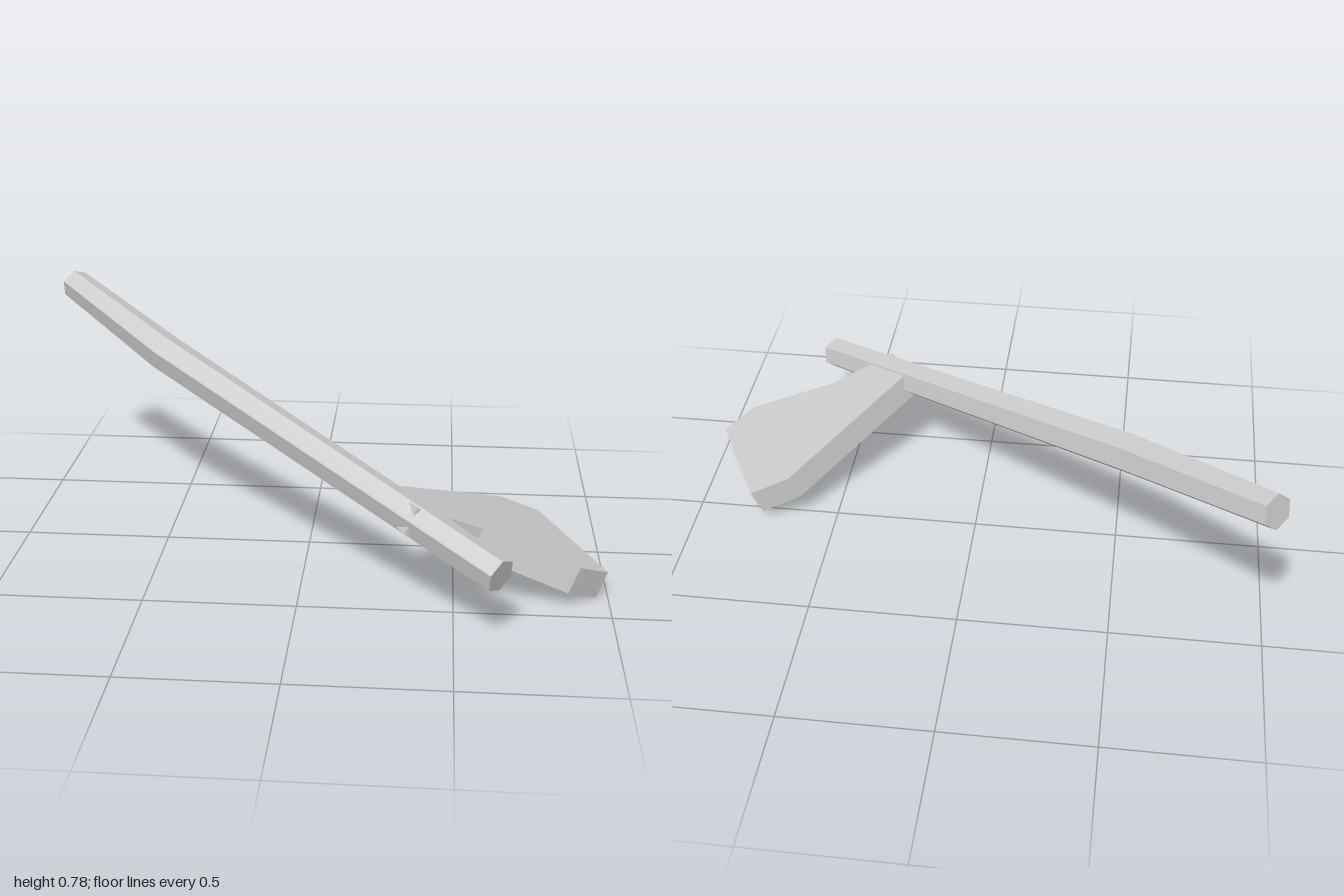
import * as THREE from 'three';

// Six-sided bar swept through centres with a radius at each one
function hexBar(centres, radii, twist) {
  const sides = 6, pos = [], index = [];
  const up = new THREE.Vector3(0, 1, 0);
  const last = centres.length - 1;
  centres.forEach((c, i) => {
    const dir = new THREE.Vector3();
    if (i > 0) dir.add(c.clone().sub(centres[i - 1]).normalize());
    if (i < last) dir.add(centres[i + 1].clone().sub(c).normalize());
    dir.normalize();
    const side = dir.clone().cross(up).normalize();
    const top = side.clone().cross(dir);
    for (let k = 0; k < sides; k++) {
      const a = twist + (k / sides) * Math.PI * 2;
      const p = c.clone()
        .addScaledVector(top, Math.cos(a) * radii[i])
        .addScaledVector(side, Math.sin(a) * radii[i]);
      pos.push(p.x, p.y, p.z);
    }
  });
  for (let i = 0; i < last; i++) {
    for (let k = 0; k < sides; k++) {
      const a = i * sides + k, b = i * sides + (k + 1) % sides;
      index.push(a, b, b + sides, a, b + sides, a + sides);
    }
  }
  // End caps
  const e = last * sides;
  for (let k = 1; k < sides - 1; k++) {
    index.push(0, k + 1, k, e, e + k, e + k + 1);
  }
  const g = new THREE.BufferGeometry();
  g.setAttribute('position', new THREE.Float32BufferAttribute(pos, 3));
  g.setIndex(index);
  const flat = g.toNonIndexed();
  flat.computeVertexNormals();
  return flat;
}

export function createModel() {
  const group = new THREE.Group();
  const grey = new THREE.MeshStandardMaterial({ color: 0xcccccc, flatShading: true });
  grey.name = 'plain grey';

  // Handle: slightly bent, thickest at the bend
  const handle = new THREE.Mesh(hexBar([
    new THREE.Vector3(-0.96, 0.73, -0.71),
    new THREE.Vector3(-0.54, 0.588, -0.30),
    new THREE.Vector3(0.635, 0.23, 0.70),
  ], [0.057, 0.068, 0.058], THREE.MathUtils.degToRad(11)), grey);
  handle.name = 'handle';
  group.add(handle);

  // Head: flat plate with a flared cutting edge, outline given as x, z
  const outline = [
    [0.29, 0.38], [0.377, 0.52], [0.586, 0.437], [0.90, 0.424],
    [0.997, 0.342], [0.794, -0.075], [0.66, -0.048],
  ];
  const shape = new THREE.Shape(outline.map(([x, z]) => new THREE.Vector2(x, -z)));
  const plate = new THREE.ExtrudeGeometry(shape, { depth: 1, bevelEnabled: false });
  // Tilt the plate: columns are the x slope, the z slope, the thickness and the origin
  const thick = new THREE.Vector3(0.036, 0.085, -0.012);
  const tilt = new THREE.Matrix4().makeBasis(
    new THREE.Vector3(1, -0.413, 0),
    new THREE.Vector3(0, -0.12, -1),
    thick,
  ).setPosition(-thick.x, 0.458 - thick.y, -thick.z);
  plate.applyMatrix4(tilt);
  const head = new THREE.Mesh(plate, grey);
  head.name = 'head';
  group.add(head);

  return group;
}
